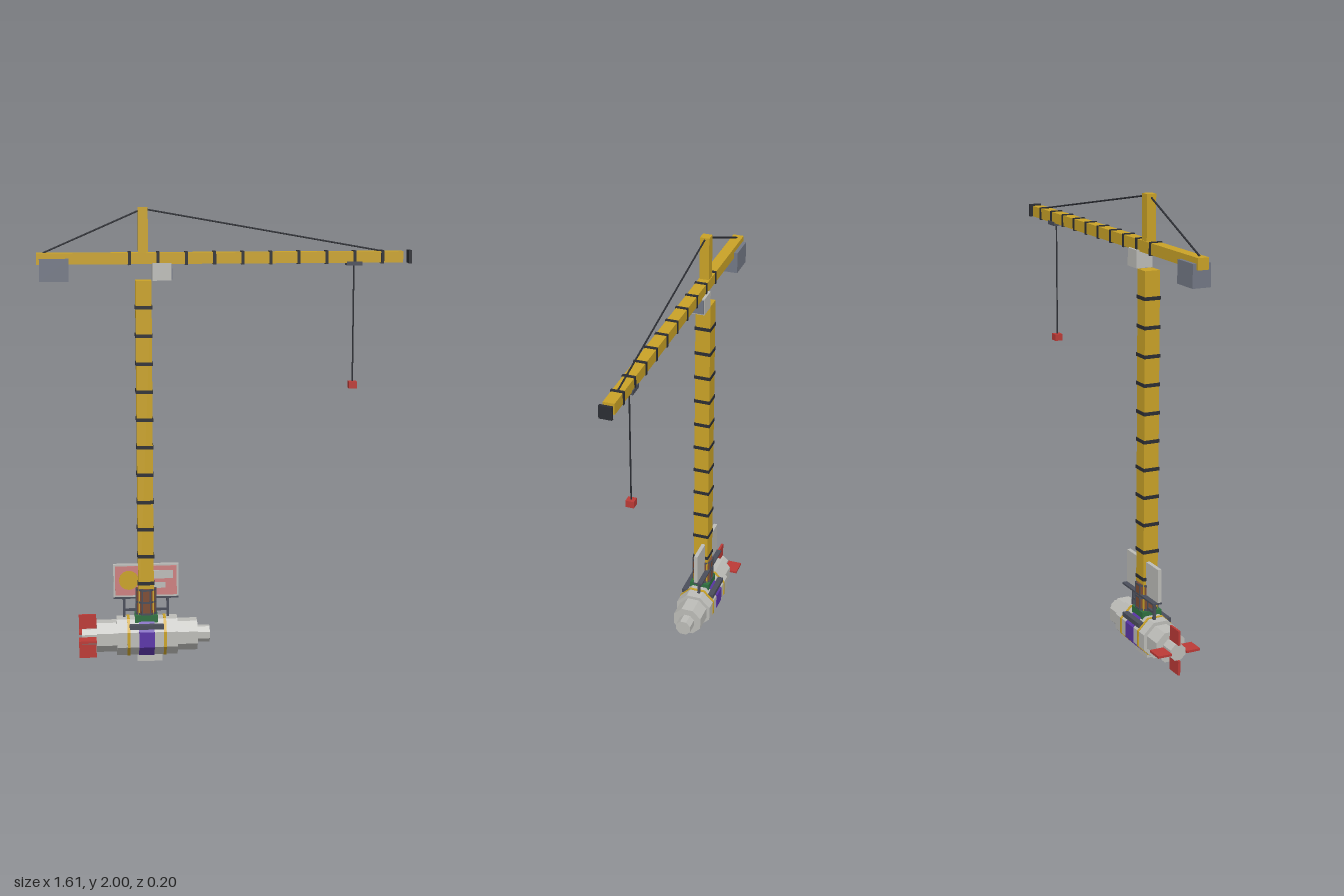
import * as THREE from 'three';

const mat = (name, color) => {
  const m = new THREE.MeshStandardMaterial({ color });
  m.name = name;
  return m;
};

export function createModel() {
  const yellow = mat('crane yellow', 0xc9a227);
  const dark = mat('dark steel', 0x2b2d33);
  const slate = mat('slate grey', 0x737885);
  const iron = mat('iron grey', 0x4a4e5a);
  const hull = mat('light hull grey', 0xbcbcb8);
  const red = mat('red', 0xbb3a36);
  const purple = mat('purple', 0x5b35a8);
  const green = mat('green', 0x2f7040);
  const brown = mat('rust brown', 0x7d4c34);
  const pink = mat('sign pink', 0xcc8080);

  const model = new THREE.Group();
  const X = -0.355; // mast axis
  const Y = 0.117; // capsule axis

  const add = (name, geo, material, x = 0, y = 0, z = 0) => {
    const mesh = new THREE.Mesh(geo, material);
    mesh.name = name;
    mesh.position.set(x, y, z);
    model.add(mesh);
    return mesh;
  };
  // box given by its limits on each axis
  const box = (name, m, x0, x1, y0, y1, z0, z1) =>
    add(name, new THREE.BoxGeometry(x1 - x0, y1 - y0, z1 - z0), m,
      (x0 + x1) / 2, (y0 + y1) / 2, (z0 + z1) / 2);
  // flat-sided octagonal prism, sized by its half width across flats
  const octagon = (half, length) => {
    const r = half / Math.cos(Math.PI / 8);
    const g = new THREE.CylinderGeometry(r, r, length, 8).rotateY(Math.PI / 8).toNonIndexed();
    g.computeVertexNormals();
    return g;
  };
  const hullSection = (name, m, x0, x1, half) =>
    add(name, octagon(half, x1 - x0).rotateZ(Math.PI / 2), m, (x0 + x1) / 2, Y, 0);
  const cable = (name, a, b, r) =>
    add(name, new THREE.TubeGeometry(new THREE.LineCurve3(
      new THREE.Vector3(...a), new THREE.Vector3(...b)), 1, r, 6), dark);

  // Capsule hull in stepped octagonal sections
  hullSection('tailNozzle', hull, -0.64, -0.57, 0.035);
  hullSection('rearHull', hull, -0.574, -0.484, 0.066);
  hullSection('mainHull', hull, -0.486, -0.218, 0.081);
  hullSection('frontHull', hull, -0.22, -0.13, 0.066);
  hullSection('nose', hull, -0.132, -0.074, 0.035);
  hullSection('rearRing', yellow, -0.44, -0.428, 0.084);
  hullSection('frontRing', yellow, -0.28, -0.268, 0.084);
  hullSection('purpleBand', purple, X - 0.034, X + 0.034, 0.084);
  box('keelFoot', hull, -0.395, -0.285, 0, 0.05, -0.018, 0.018);

  // Four tail fins
  for (const s of [-1, 1]) {
    add('verticalFin', new THREE.BoxGeometry(0.077, 0.064, 0.01), red, -0.614, Y + s * 0.067, 0);
    add('sideFin', new THREE.BoxGeometry(0.077, 0.01, 0.064), red, -0.614, Y, s * 0.067);
    // Saddle rails on the hull shoulders
    add('saddleRail', new THREE.BoxGeometry(0.15, 0.02, 0.026), iron, X, 0.172, s * 0.065);
  }

  // Mast foot: green base and ribbed brown drum
  box('greenBase', green, X - 0.05, X + 0.05, 0.185, 0.217, -0.046, 0.046);
  add('brownDrum', octagon(0.044, 0.12), brown, X, 0.275, 0);
  for (const y of [0.222, 0.275, 0.33]) add('drumHoop', octagon(0.0465, 0.008), iron, X, y, 0);
  for (let i = 0; i < 8; i++) {
    const a = Math.PI / 8 + i * Math.PI / 4;
    add('drumRib', new THREE.BoxGeometry(0.006, 0.12, 0.006), iron,
      X + Math.cos(a) * 0.0465, 0.277, Math.sin(a) * 0.0465);
  }

  // Mast with dark joint bands
  box('mast', yellow, X - 0.034, X + 0.034, 0.2, 1.69, -0.034, 0.034);
  for (let i = 0; i < 11; i++) {
    add('mastBand', new THREE.BoxGeometry(0.074, 0.015, 0.074), dark, X, 0.36 + i * 0.1215, 0);
  }

  // Signboard with its posts, ledge and painted shapes
  box('signBoard', hull, -0.498, -0.21, 0.29, 0.438, -0.022, -0.005);
  box('signFace', pink, -0.49, -0.218, 0.298, 0.43, -0.005, -0.002);
  add('signDisc', new THREE.CylinderGeometry(0.043, 0.043, 0.003, 24).rotateX(Math.PI / 2),
    yellow, -0.43, 0.367, -0.0005);
  box('signStripe', hull, -0.32, -0.235, 0.373, 0.41, -0.002, 0.001);
  box('signStripe', hull, -0.32, -0.267, 0.33, 0.356, -0.002, 0.001);
  box('signLedge', iron, -0.498, -0.21, 0.282, 0.29, -0.045, -0.003);
  for (const x of [-0.451, -0.258]) box('signPost', iron, x - 0.006, x + 0.006, 0.17, 0.3, -0.02, -0.008);
  box('signCrossbar', iron, -0.451, -0.258, 0.224, 0.234, -0.019, -0.009);

  // Jib with dark joint bands
  box('jib', yellow, -0.808, 0.766, 1.76, 1.808, -0.024, 0.024);
  for (let i = 0; i < 11; i++) {
    add('jibBand', new THREE.BoxGeometry(0.013, 0.056, 0.055), dark, -0.413 + i * 0.121, 1.784, 0);
  }
  box('apexPost', yellow, X - 0.021, X + 0.021, 1.77, 2, -0.021, 0.021);
  cable('rearStay', [X, 1.993, 0], [-0.78, 1.808, 0], 0.004);
  cable('frontStay', [X, 1.993, 0], [0.68, 1.808, 0], 0.004);

  // Counterweight and operator cab
  box('counterweight', slate, -0.796, -0.672, 1.688, 1.785, -0.04, 0.04);
  box('cab', hull, -0.317, -0.236, 1.69, 1.765, -0.036, 0.036);
  box('cabWindow', slate, -0.236, -0.232, 1.695, 1.76, -0.033, 0.033);

  // Trolley, hoist line and hook block
  box('trolley', iron, 0.521, 0.588, 1.748, 1.766, -0.028, 0.028);
  cable('hoistLine', [0.555, 1.75, 0], [0.555, 1.235, 0], 0.0035);
  box('hookBlock', red, 0.538, 0.573, 1.212, 1.242, -0.018, 0.018);

  return model;
}
